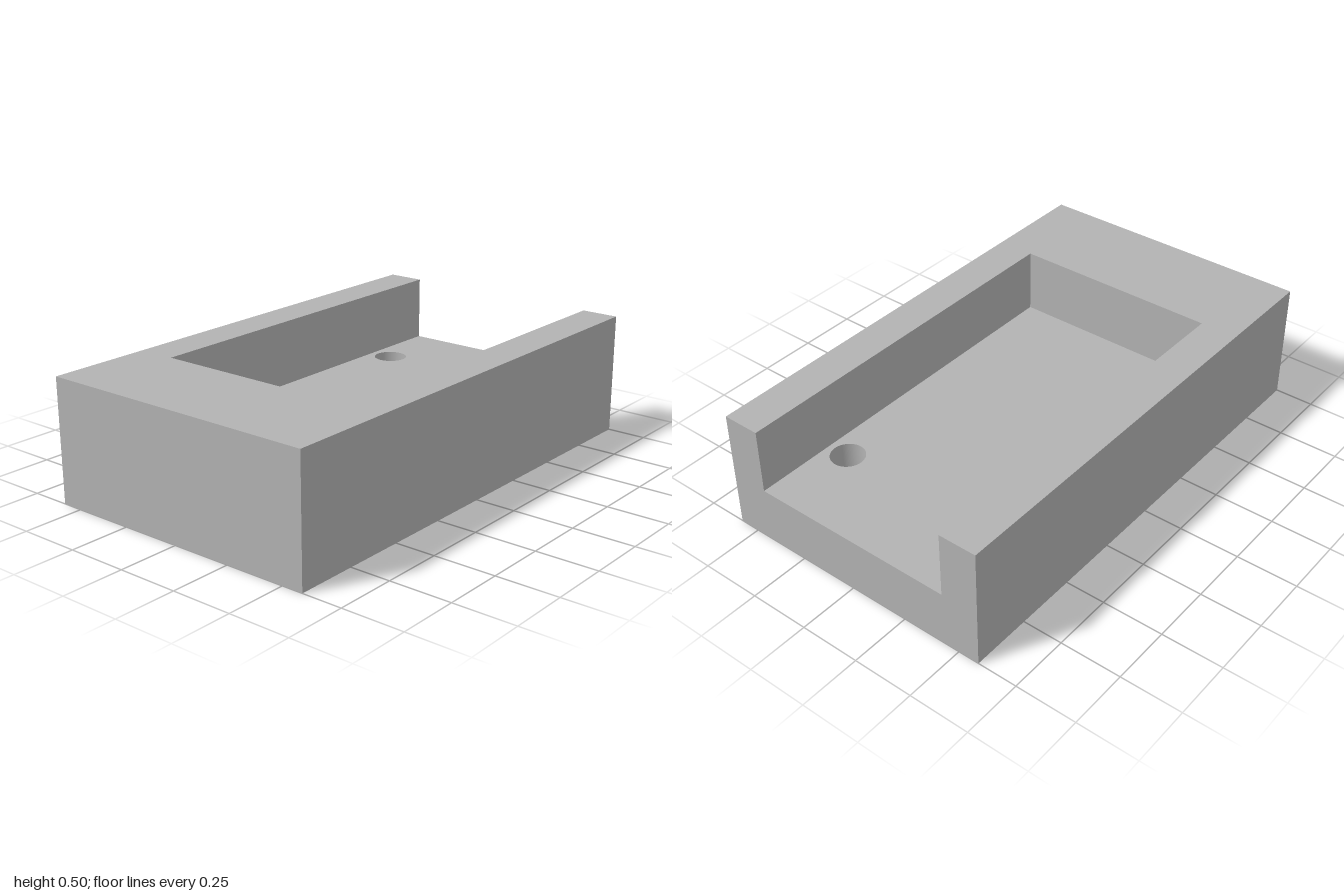
import * as THREE from 'three';

const W = 0.587, L = 1;              // half width, half length
const POCKET_W = 0.431, POCKET_Z = 0.577; // pocket half width, front end of pocket
const FLOOR = 0.23, HEIGHT = 0.5;

// Extrude a plan outline (x, z) upwards from y0 to y1.
function slab(name, outline, y0, y1, holes, material) {
  const shape = new THREE.Shape(outline.map(([x, z]) => new THREE.Vector2(x, -z)));
  for (const [x, z, r] of holes) {
    shape.holes.push(new THREE.Path().absarc(x, -z, r, 0, Math.PI * 2, true));
  }
  const geometry = new THREE.ExtrudeGeometry(shape, {
    depth: y1 - y0, bevelEnabled: false, curveSegments: 48,
  });
  geometry.rotateX(-Math.PI / 2).translate(0, y0, 0);
  const mesh = new THREE.Mesh(geometry, material);
  mesh.name = name;
  return mesh;
}

export function createModel() {
  const group = new THREE.Group();
  group.name = 'trayBlock';
  const grey = new THREE.MeshStandardMaterial({ color: 0xb2b2b2 });
  grey.name = 'grey';

  // Base plate with two through holes near the back
  const plate = [[-W, L], [W, L], [W, -L], [-W, -L]];
  const holes = [-1, 1].map((s) => [s * 0.336, -0.659, 0.069]);
  group.add(slab('basePlate', plate, 0, FLOOR, holes, grey));

  // U-shaped wall around the pocket, open at the back
  const wall = [
    [-W, L], [W, L], [W, -L], [POCKET_W, -L],
    [POCKET_W, POCKET_Z], [-POCKET_W, POCKET_Z], [-POCKET_W, -L], [-W, -L],
  ];
  group.add(slab('pocketWall', wall, FLOOR, HEIGHT, [], grey));

  return group;
}
